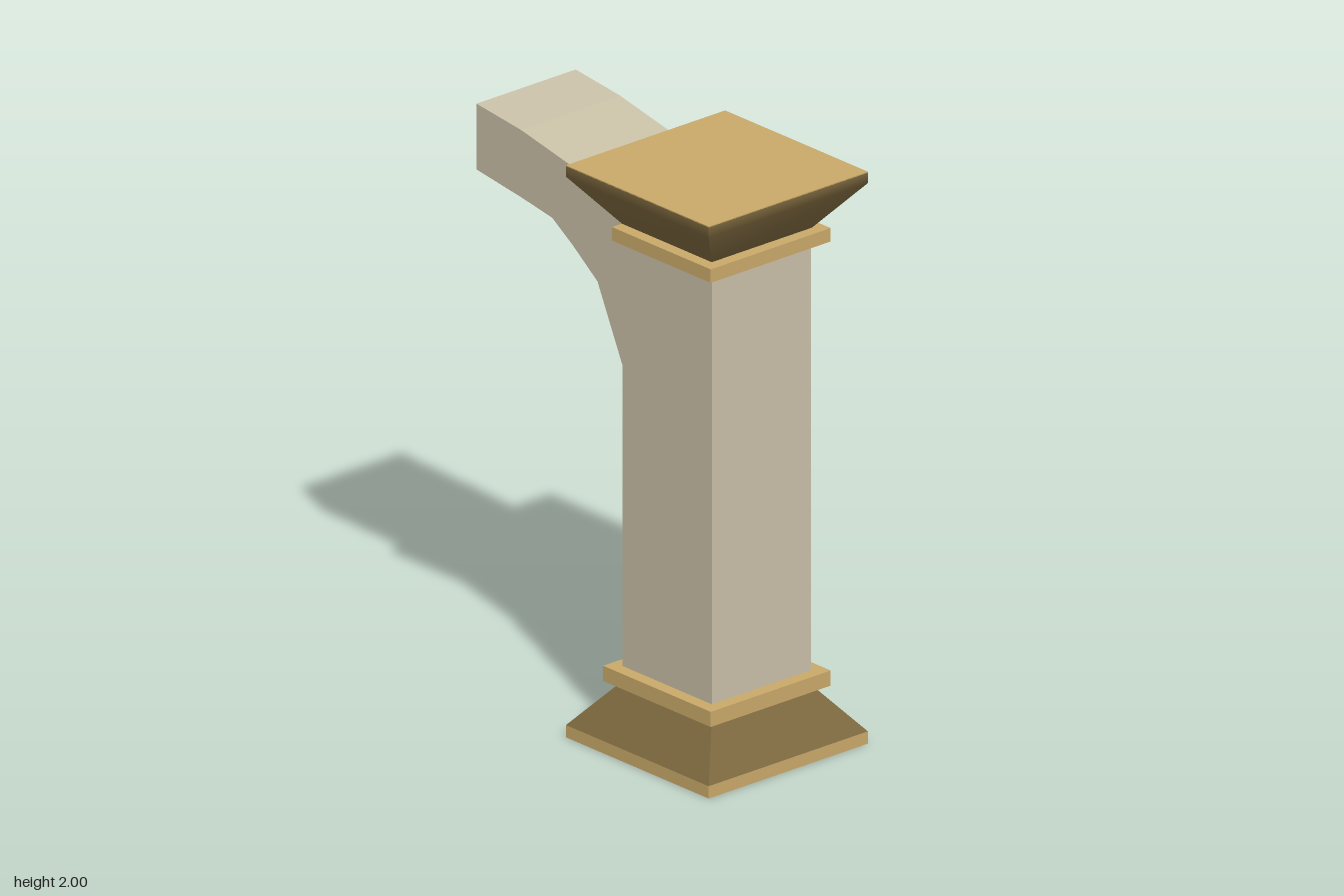
import * as THREE from 'three';

const stone = new THREE.MeshStandardMaterial({ color: 0xc9bfa7 });
stone.name = 'stone';
const gold = new THREE.MeshStandardMaterial({ color: 0xc9a96a });
gold.name = 'gold';
const brown = new THREE.MeshStandardMaterial({ color: 0x7d683e });
brown.name = 'brown';

const CX = 0.2875;  // pillar axis
const HALF = 0.215; // half width of the shaft
const WIDE = 0.345; // half width of base and capital

function add(parent, name, geometry, material) {
  const mesh = new THREE.Mesh(geometry, material);
  mesh.name = name;
  parent.add(mesh);
  return mesh;
}

// Box given by its x, y and z limits
function block(parent, name, material, x0, x1, y0, y1, z) {
  const mesh = add(parent, name, new THREE.BoxGeometry(x1 - x0, y1 - y0, z * 2), material);
  mesh.position.set((x0 + x1) / 2, (y0 + y1) / 2, 0);
}

// Four mitred sides following a [halfWidth, y] profile listed from top to bottom
function squareFlare(parent, name, material, profile) {
  const group = new THREE.Group();
  group.name = name;
  group.position.x = CX;
  for (let i = 0; i < 4; i++) {
    const geo = new THREE.PlaneGeometry(2, 1, 1, profile.length - 1);
    const pos = geo.attributes.position;
    for (let v = 0; v < pos.count; v++) {
      const [half, y] = profile[Math.floor(v / 2)];
      pos.setXYZ(v, pos.getX(v) * half, y, half);
    }
    geo.computeVertexNormals();
    add(group, name + 'Side', geo, material).rotation.y = i * Math.PI / 2;
  }
  parent.add(group);
}

export function createModel() {
  const model = new THREE.Group();
  model.name = 'bracketPillar';

  // Shaft and curved arm share one silhouette
  const under = [[-0.635, 1.77], [-0.42, 1.74], [-0.27, 1.715], [-0.17, 1.65],
    [-0.05, 1.56], [0.07, 1.305], [0.07, 0.2]];
  const upper = [[CX + HALF, 0.2], [CX + HALF, 1.8], [0.07, 1.8],
    [-0.175, 1.925], [-0.42, 1.975], [-0.635, 2]];
  const shape = new THREE.Shape([...under, ...upper].map(p => new THREE.Vector2(...p)));
  const body = new THREE.ExtrudeGeometry(shape, { depth: HALF * 2, bevelEnabled: false });
  body.translate(0, 0, -HALF);
  add(model, 'shaftAndArm', body, stone);

  // Gold facing under the arm and down the inner side of the shaft
  const ribbon = new THREE.PlaneGeometry(1, 2 * HALF, under.length - 1, 1);
  const pos = ribbon.attributes.position;
  for (let v = 0; v < pos.count; v++) {
    const [x, y] = under[v % under.length];
    pos.setXYZ(v, x - 0.002, y - 0.002, pos.getY(v));
  }
  const soffit = ribbon.toNonIndexed();
  soffit.computeVertexNormals();
  add(model, 'soffit', soffit, gold);

  // Base: plinth, flare and collar
  block(model, 'plinth', gold, CX - WIDE, CX + WIDE, 0, 0.043, WIDE);
  squareFlare(model, 'baseFlare', brown, [[0.217, 0.2], [WIDE, 0.043]]);
  block(model, 'lowerCollar', gold, CX - 0.26, CX + 0.26, 0.2, 0.253, 0.26);

  // Capital: collar cut off at the arm, flare and top slab
  block(model, 'upperCollar', gold, 0.07, CX + 0.26, 1.753, 1.8, 0.26);
  squareFlare(model, 'capitalFlare', brown, [[WIDE, 1.997], [WIDE, 1.96], [0.217, 1.8]]);
  block(model, 'capitalTop', gold, CX - WIDE, CX + WIDE, 1.996, 2, WIDE);

  return model;
}
